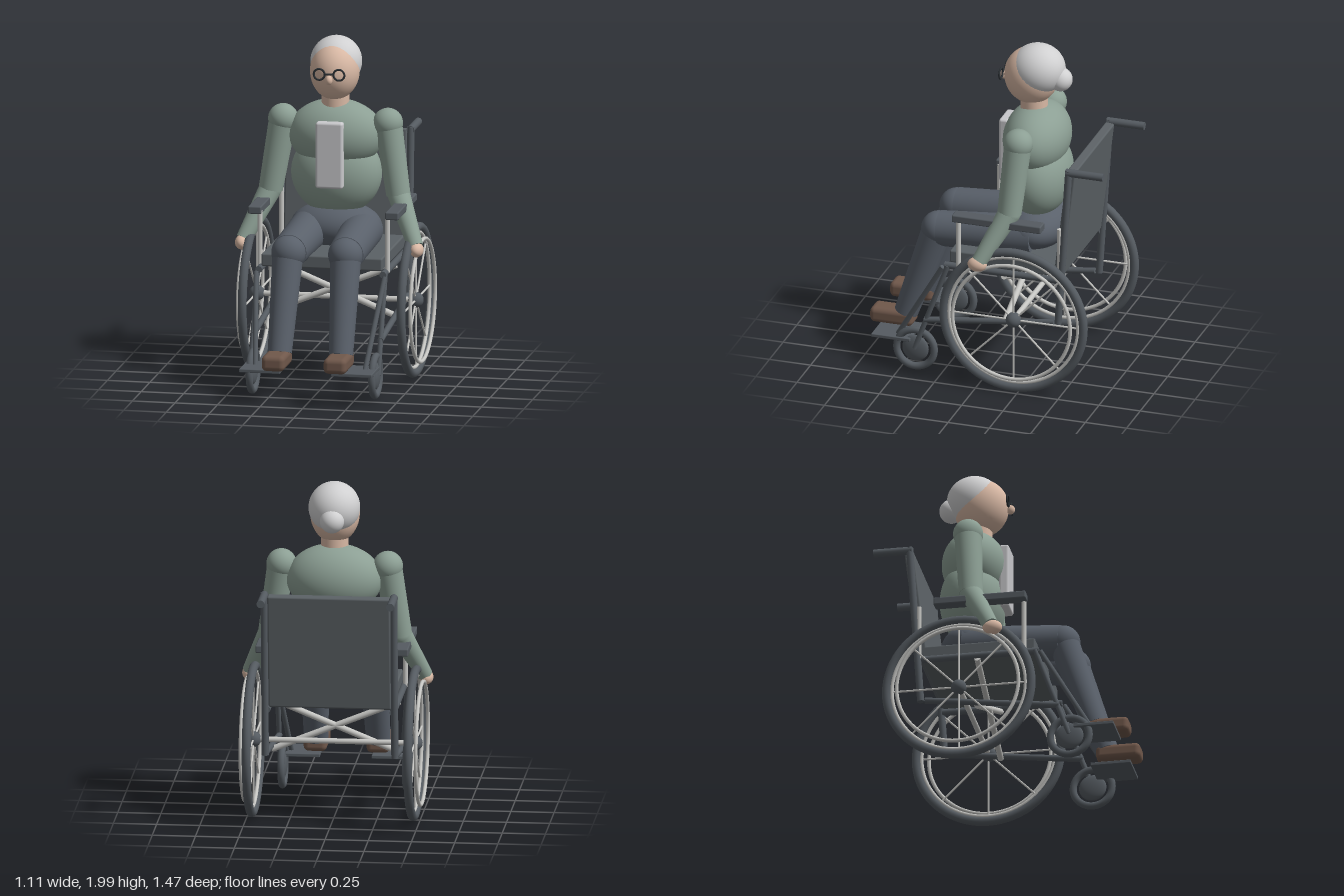
import * as THREE from 'three';
import { RoundedBoxGeometry } from 'three/addons/geometries/RoundedBoxGeometry.js';

const mat = (name, color) => {
  const m = new THREE.MeshStandardMaterial({ color });
  m.name = name;
  return m;
};

export function createModel() {
  const root = new THREE.Group();
  root.name = 'seatedElderInWheelchair';
  const M = {
    frame: mat('dark frame', 0x555b61),
    cushion: mat('seat fabric', 0x5b6165),
    metal: mat('pale metal', 0xc6c6c3),
    sage: mat('sage knit', 0x8c9f94),
    trousers: mat('slate trousers', 0x59606a),
    skin: mat('skin', 0xd9b9a5),
    hair: mat('silver hair', 0xd0d0d1),
    shoe: mat('brown leather', 0x70584b),
    panel: mat('pale panel', 0xc9c9cc),
    wire: mat('black wire', 0x2c3135),
  };

  // Helpers: every part is placed in model coordinates
  const add = (name, geo, material, pos = [0, 0, 0], parent = root) => {
    const mesh = new THREE.Mesh(geo, material);
    mesh.name = name;
    mesh.position.set(...pos);
    parent.add(mesh);
    return mesh;
  };
  const ball = (name, material, pos, rx, ry = rx, rz = rx, parent = root) => {
    const mesh = add(name, new THREE.SphereGeometry(1, 40, 28), material, pos, parent);
    mesh.scale.set(rx, ry, rz);
    return mesh;
  };
  const block = (name, material, pos, size, r = 0.01, parent = root) =>
    add(name, new RoundedBoxGeometry(...size, 3, r), material, pos, parent);
  const rod = (name, material, from, to, r0, r1 = r0, parent = root) => {
    const a = new THREE.Vector3(...from), b = new THREE.Vector3(...to);
    const dir = b.clone().sub(a);
    const geo = new THREE.CylinderGeometry(r1, r0, dir.length(), r0 > 0.04 ? 36 : 14);
    const mesh = add(name, geo, material, a.add(b).multiplyScalar(0.5).toArray(), parent);
    mesh.quaternion.setFromUnitVectors(new THREE.Vector3(0, 1, 0), dir.normalize());
    return mesh;
  };
  const hoop = (name, material, pos, R, tube, parent = root) => {
    const mesh = add(name, new THREE.TorusGeometry(R, tube, 12, 72), material, pos, parent);
    mesh.rotation.y = Math.PI / 2;
    return mesh;
  };

  // Seat, backrest and cross bracing
  block('seat', M.cushion, [0, 0.752, -0.13], [0.71, 0.075, 0.67]);
  block('backrest', M.cushion, [0, 1.06, -0.493], [0.71, 0.68, 0.055]).rotation.x = -0.12;
  rod('axle', M.metal, [-0.5, 0.46, -0.22], [0.5, 0.46, -0.22], 0.016);
  for (const s of [-1, 1])
    rod('crossBrace', M.metal, [-0.37 * s, 0.68, -0.13], [0.37 * s, 0.38, -0.13], 0.018);

  for (const s of [-1, 1]) {
    const side = new THREE.Group();
    side.name = s > 0 ? 'leftSide' : 'rightSide';
    root.add(side);

    // Large wheel with hand rim and spokes
    const wx = s * 0.467, wy = 0.46, wz = -0.22;
    hoop('rearTyre', M.frame, [wx, wy, wz], 0.424, 0.026, side);
    hoop('rearRim', M.metal, [wx, wy, wz], 0.392, 0.011, side);
    hoop('handRim', M.metal, [s * 0.507, wy, wz], 0.357, 0.011, side);
    ball('rearHub', M.frame, [wx, wy, wz], 0.045, 0.045, 0.045, side);
    for (let i = 0; i < 8; i++) {
      const a = i * Math.PI / 4;
      rod('spoke', M.metal, [wx, wy, wz],
        [wx, wy + Math.sin(a) * 0.39, wz + Math.cos(a) * 0.39], 0.006, 0.006, side);
    }

    // Caster and its fork
    hoop('casterTyre', M.frame, [s * 0.36, 0.145, 0.41], 0.114, 0.021, side);
    ball('casterHub', M.frame, [s * 0.36, 0.145, 0.41], 0.024, 0.08, 0.08, side);
    rod('casterFork', M.frame, [s * 0.375, 0.7, 0.21], [s * 0.375, 0.15, 0.41], 0.015, 0.015, side);

    // Side frame
    rod('seatRail', M.frame, [s * 0.365, 0.7, 0.23], [s * 0.365, 0.7, -0.47], 0.02, 0.02, side);
    rod('lowerRail', M.frame, [s * 0.375, 0.34, 0.35], [s * 0.375, 0.435, -0.435], 0.018, 0.018, side);
    rod('backPost', M.frame, [s * 0.375, 0.43, -0.46], [s * 0.375, 1.41, -0.525], 0.021, 0.021, side);
    rod('pushHandle', M.frame, [s * 0.375, 1.395, -0.51], [s * 0.375, 1.395, -0.735], 0.023, 0.023, side);
    block('armrest', M.frame, [s * 0.403, 1.033, -0.105], [0.078, 0.045, 0.54], 0.008, side);
    for (const z of [0.145, -0.47])
      rod('armrestPost', M.metal, [s * 0.375, 0.7, z], [s * 0.375, 1.03, z], 0.015, 0.015, side);

    // Foot support
    rod('footHanger', M.frame, [s * 0.378, 0.69, 0.24], [s * 0.322, 0.2, 0.53], 0.015, 0.015, side);
    block('footplate', M.frame, [s * 0.27, 0.199, 0.553], [0.24, 0.02, 0.235], 0.004, side);

    // Leg and shoe
    rod('thigh', M.trousers, [s * 0.15, 0.86, -0.24], [s * 0.167, 0.833, 0.325], 0.12, 0.103, side);
    ball('knee', M.trousers, [s * 0.167, 0.833, 0.335], 0.1, 0.1, 0.1, side);
    rod('shin', M.trousers, [s * 0.17, 0.84, 0.335], [s * 0.18, 0.285, 0.525], 0.09, 0.07, side);
    block('shoe', M.shoe, [s * 0.182, 0.258, 0.6], [0.135, 0.092, 0.26], 0.03, side);

    // Arm and hand
    ball('shoulder', M.sage, [s * 0.308, 1.503, -0.195], 0.087, 0.087, 0.087, side);
    rod('upperArm', M.sage, [s * 0.31, 1.5, -0.195], [s * 0.375, 1.09, -0.165], 0.08, 0.07, side);
    ball('elbow', M.sage, [s * 0.378, 1.09, -0.165], 0.066, 0.066, 0.066, side);
    rod('forearm', M.sage, [s * 0.378, 1.09, -0.165], [s * 0.505, 0.82, -0.025], 0.066, 0.045, side);
    ball('hand', M.skin, [s * 0.513, 0.802, -0.015], 0.04, 0.043, 0.057, side);

    // Spectacle ring
    add('spectacleRing', new THREE.TorusGeometry(0.032, 0.006, 10, 32), M.wire, [s * 0.058, 1.813, -0.008], side);
  }

  // Torso
  ball('pelvis', M.trousers, [0, 0.885, -0.22], 0.265, 0.14, 0.185);
  ball('belly', M.sage, [0, 1.195, -0.225], 0.265, 0.25, 0.188);
  ball('chest', M.sage, [0, 1.425, -0.21], 0.278, 0.205, 0.19);
  block('frontPanel', M.panel, [0, 1.335, -0.03], [0.16, 0.39, 0.06], 0.015);

  // Head
  rod('neck', M.skin, [0, 1.55, -0.19], [0, 1.7, -0.19], 0.08);
  ball('head', M.skin, [0, 1.805, -0.175], 0.143, 0.172, 0.16);
  ball('hair', M.hair, [0, 1.85, -0.215], 0.149, 0.15, 0.16);
  ball('hairBun', M.hair, [0, 1.8, -0.35], 0.07);
  ball('nose', M.skin, [0, 1.782, -0.003], 0.021, 0.028, 0.025);
  rod('spectacleBridge', M.wire, [-0.028, 1.815, -0.008], [0.028, 1.815, -0.008], 0.006);

  return root;
}
